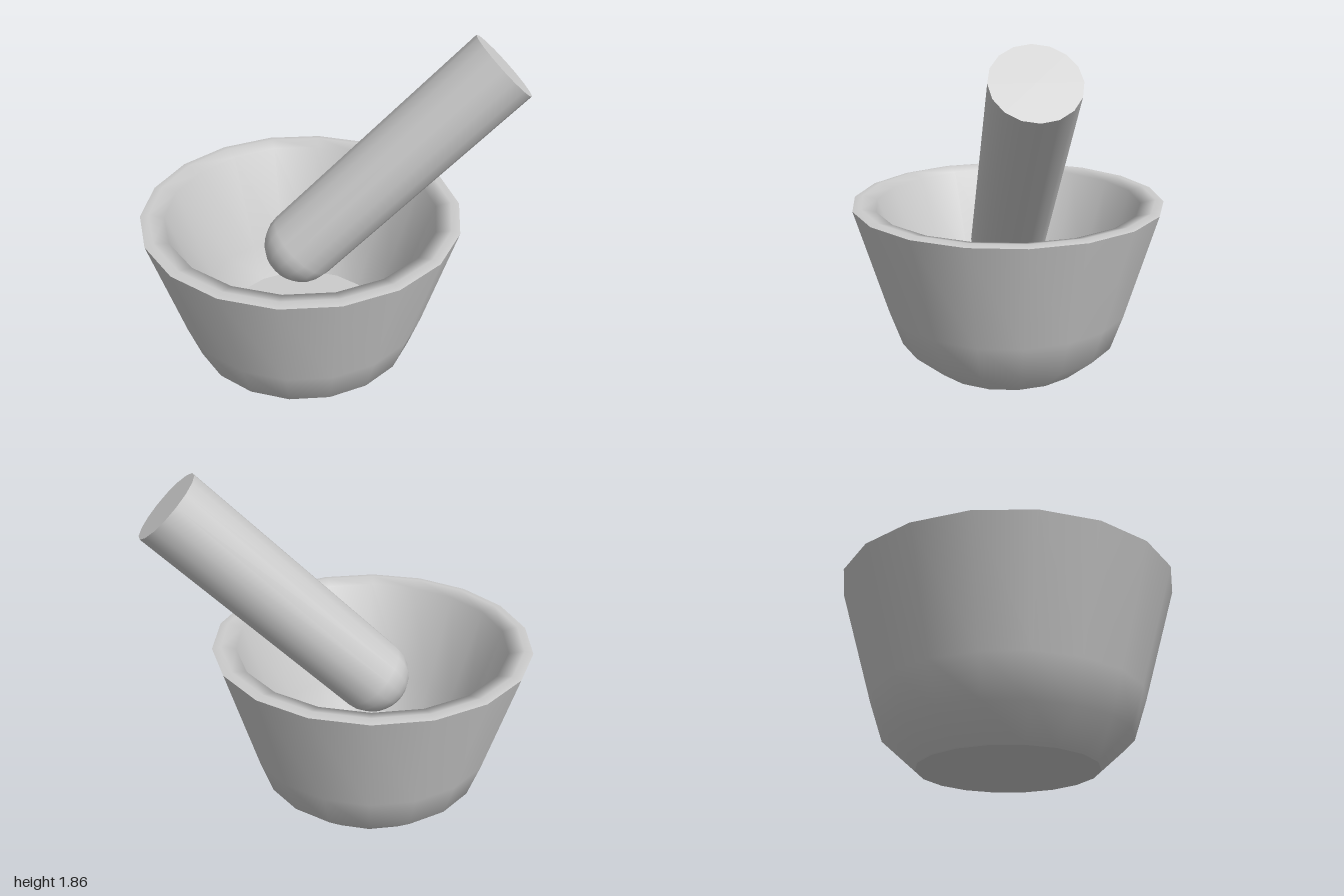
import * as THREE from 'three';

const material = new THREE.MeshStandardMaterial({ color: 0xcccccc });
const BOWL_X = -0.155;
const BOWL_SIDES = 18;

function mesh(name, geometry, parent) {
  const m = new THREE.Mesh(geometry, material);
  m.name = name;
  parent.add(m);
  return m;
}

// Turned surface whose first vertex lies on +x
function turned(profile, sides) {
  const points = profile.map(([r, y]) => new THREE.Vector2(r, y));
  return new THREE.LatheGeometry(points, sides).rotateY(Math.PI / 2);
}

// Flat disc facing up (+1) or down (-1)
function disc(radius, sides, y, facing) {
  return new THREE.CircleGeometry(radius, sides).rotateX(-facing * Math.PI / 2).translate(0, y, 0);
}

function createBowl() {
  const bowl = new THREE.Group();
  bowl.name = 'bowl';
  bowl.position.x = BOWL_X;
  // Outside, from foot to lip
  mesh('bowlOuterWall', turned([[0.44, 0], [0.605, 0.145], [0.672, 0.34], [0.845, 0.927]], BOWL_SIDES), bowl);
  // Soft rim flowing into the hollow
  mesh('bowlRimAndInnerWall', turned([[0.845, 0.927], [0.80, 0.936], [0.72, 0.915], [0.54, 0.4], [0.445, 0.2]], BOWL_SIDES), bowl);
  mesh('bowlFloor', disc(0.445, BOWL_SIDES, 0.2, 1), bowl);
  mesh('bowlBase', disc(0.44, BOWL_SIDES, 0, -1), bowl);
  return bowl;
}

function createPestle() {
  const pestle = new THREE.Group();
  pestle.name = 'pestle';
  const radius = 0.204, length = 1.427, sides = 16, steps = 6;
  // Rounded tip, then straight shaft
  const profile = [];
  for (let i = 0; i <= steps; i++) {
    const a = (i / steps) * Math.PI / 2;
    profile.push([radius * Math.sin(a), -radius * Math.cos(a)]);
  }
  profile.push([radius, length]);
  mesh('pestleShaft', turned(profile, sides), pestle);
  mesh('pestleEndCap', disc(radius, sides, length, 1), pestle);
  // Leans towards +x
  pestle.position.set(BOWL_X, 0.705, 0);
  pestle.rotation.z = -Math.PI / 4;
  return pestle;
}

export function createModel() {
  const model = new THREE.Group();
  model.name = 'mortarAndPestle';
  model.add(createBowl(), createPestle());
  return model;
}
